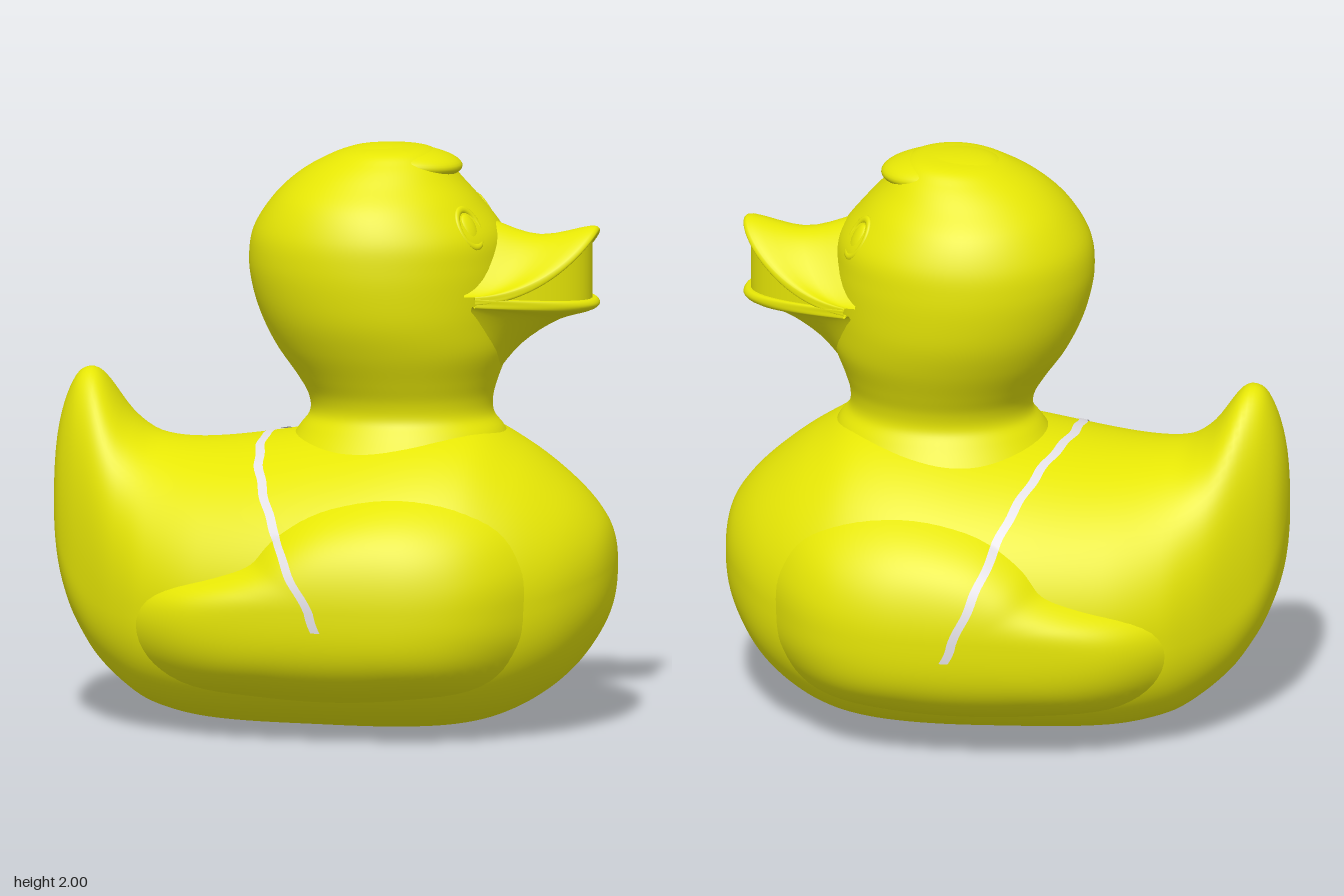
import * as THREE from 'three';
import { mergeVertices } from 'three/addons/utils/BufferGeometryUtils.js';

const yellow = new THREE.MeshStandardMaterial({ color: 0xe6e605, side: THREE.DoubleSide });
yellow.name = 'duckYellow';
const pale = new THREE.MeshStandardMaterial({ color: 0xe2dfe4, side: THREE.DoubleSide });
pale.name = 'paleLine';

// Smooth surface from a rule f(u, v) -> [x, y, z], seams welded
function surface(nu, nv, f) {
  const pos = [], idx = [];
  for (let i = 0; i <= nu; i++)
    for (let j = 0; j <= nv; j++) pos.push(...f(i / nu, j / nv));
  for (let i = 0; i < nu; i++)
    for (let j = 0; j < nv; j++) {
      const a = i * (nv + 1) + j, b = a + nv + 1;
      idx.push(a, b, a + 1, b, b + 1, a + 1);
    }
  let g = new THREE.BufferGeometry();
  g.setAttribute('position', new THREE.Float32BufferAttribute(pos, 3));
  g.setIndex(idx);
  g = mergeVertices(g, 1e-5);
  g.computeVertexNormals();
  return g;
}

// Cubic interpolation of rows [t, a, b, ...]
function sample(keys, t) {
  const last = keys.length - 1;
  let i = 0;
  while (i < last - 1 && t > keys[i + 1][0]) i++;
  const k0 = keys[Math.max(i - 1, 0)], k1 = keys[i], k2 = keys[i + 1], k3 = keys[Math.min(i + 2, last)];
  const h = k2[0] - k1[0];
  const s = THREE.MathUtils.clamp((t - k1[0]) / h, 0, 1), s2 = s * s, s3 = s2 * s;
  return k1.slice(1).map((p, c) => {
    const q = k2[c + 1];
    const m1 = (q - k0[c + 1]) / (k2[0] - k0[0]) * h;
    const m2 = (k3[c + 1] - p) / (k3[0] - k1[0]) * h;
    return (2 * s3 - 3 * s2 + 1) * p + (s3 - 2 * s2 + s) * m1 + (3 * s2 - 2 * s3) * q + (s3 - s2) * m2;
  });
}

// Body stations: x, bottom, top, half width, height of greatest width
const HALF = 0.97, LOW = 2.6;
const bodyKeys = [
  [-0.97, 0.8, 0.8, 0, 0.8], [-0.955, 0.56, 1.0, 0.115, 0.7], [-0.9, 0.37, 1.165, 0.215, 0.56],
  [-0.85, 0.28, 1.2, 0.275, 0.5], [-0.8, 0.21, 1.175, 0.33, 0.47], [-0.7, 0.12, 1.04, 0.43, 0.45],
  [-0.6, 0.06, 0.975, 0.505, 0.45], [-0.4, 0.015, 0.965, 0.585, 0.45], [0, 0, 1.02, 0.65, 0.47],
  [0.3, 0, 1.06, 0.655, 0.47], [0.5, 0.02, 1.05, 0.62, 0.47], [0.65, 0.07, 0.975, 0.555, 0.48],
  [0.8, 0.17, 0.865, 0.435, 0.5], [0.9, 0.295, 0.765, 0.295, 0.53], [0.955, 0.42, 0.67, 0.15, 0.55],
  [0.97, 0.56, 0.56, 0, 0.56],
].map(([x, ...r]) => [Math.acos(-x / HALF), ...r]);
const station = x => sample(bodyKeys, Math.acos(THREE.MathUtils.clamp(-x / HALF, -1, 1)));

function bodyPoint(x, a) {
  const [yb, yt, w, yw] = station(x);
  const c = Math.cos(a), s = Math.sin(a), e = s >= 0 ? 1 : 2 / LOW;
  const y = s >= 0 ? yw + (yt - yw) * s : yw - (yw - yb) * Math.pow(-s, e);
  return [x, y, w * Math.sign(c) * Math.pow(Math.abs(c), e)];
}
function bodyZ(x, y) {
  const [yb, yt, w, yw] = station(x);
  const n = y > yw ? 2 : LOW;
  const t = Math.min(1, y > yw ? (y - yw) / (yt - yw) : (yw - y) / (yw - yb));
  return w * Math.pow(1 - Math.pow(t, n), 1 / n);
}

// Wing outline: radius every 22.5 degrees around its centre, in stretched units
const WX = 0.07, WY = 0.47, WA = 0.67, WB = 0.355, SINK = 0.006;
const radii = [1.0, 1.06, 1.15, 1.12, 0.95, 0.73, 0.58, 0.67, 0.97, 1.1, 1.13, 1.0, 0.96, 0.99, 1.1, 1.04];
const wingKeys = [];
for (let i = -2; i <= 18; i++) wingKeys.push([i * Math.PI / 8, radii[(i + 16) % 16]]);
const wingRadius = a => sample(wingKeys, (a + Math.PI * 4) % (Math.PI * 2))[0];
const wingBump = r => (r >= 1 ? 0 : 0.094 * (1 - Math.pow(r, 5)));

function wingGeometry(side) {
  return surface(28, 96, (r, v) => {
    const a = side * v * Math.PI * 2, R = wingRadius(a) * r;
    const x = WX + WA * R * Math.cos(a), y = WY + WB * R * Math.sin(a);
    return [x, y, side * (bodyZ(x, y) + wingBump(r) - SINK)];
  });
}

// Painted line over the back: angle around the body, x
const lineKeys = [[-0.08, 0.05], [0.3, -0.07], [0.65, -0.155], [1.1, -0.22], [1.57, -0.225],
  [2.04, -0.145], [2.44, -0.06], [2.75, 0], [3.14, 0.09], [3.22, 0.12]];
function linePoint(u, v) {
  const a = -0.08 + 3.3 * v;
  const x = sample(lineKeys, a)[0] + (u - 0.5) * 0.032 + 0.003 * Math.sin(a * 23);
  const p = bodyPoint(x, a);
  const px = (x - WX) / WA, py = (p[1] - WY) / WB;
  const lift = wingBump(Math.hypot(px, py) / wingRadius(Math.atan2(py, px)));
  p[1] += 0.004 * Math.sin(a);
  p[2] += Math.sign(Math.cos(a)) * Math.max(0, lift - SINK) + 0.004 * Math.cos(a);
  return p;
}

// Head and neck: y, back x, front x, half width
const headKeys = [
  [0.95, -0.17, 0.62, 0.35], [1.02, -0.12, 0.585, 0.3], [1.07, -0.085, 0.548, 0.272],
  [1.13, -0.09, 0.545, 0.278], [1.2, -0.13, 0.565, 0.308], [1.3, -0.2, 0.6, 0.355],
  [1.4, -0.25, 0.605, 0.39], [1.5, -0.282, 0.605, 0.406], [1.6, -0.295, 0.6, 0.41],
  [1.7, -0.28, 0.58, 0.398], [1.8, -0.22, 0.505, 0.35], [1.88, -0.14, 0.435, 0.272],
  [1.94, -0.045, 0.385, 0.203], [1.98, 0.06, 0.33, 0.135], [1.994, 0.22, 0.22, 0],
].map((k, i) => [i, ...k]);
function headPoint(u, v) {
  const [y, back, front, w] = sample(headKeys, v * (headKeys.length - 1));
  const a = u * Math.PI * 2;
  return [(back + front) / 2 + (front - back) / 2 * Math.cos(a), y, -w * Math.sin(a)];
}

// Beak: s runs across from -1 to 1, f from the root (0) to the rim (1)
const rimX = s => 0.53 + 0.385 * (1 - Math.pow(Math.abs(s), 2.3));
const plan = (s, f, y, g = 1) => new THREE.Vector3(THREE.MathUtils.lerp(0.49, rimX(s), f), y, 0.285 * s * g);
const upperY = s => 1.51 + 0.215 * Math.pow((Math.cos(Math.PI * s) + 1) / 2, 0.85);
const lowerY = s => 1.5 - 0.03 * (1 - s * s);
const sweep = rows => surface(48, 24, (u, v) => {
  const s = u * 2 - 1;
  return new THREE.CatmullRomCurve3(rows(s)).getPoint(v).toArray();
});
const upperRows = s => {
  const y = upperY(s), k = 1 - s * s;
  return [plan(s, 0, y + 0.035 * k), plan(s, 0.5, y - 0.033 * k), plan(s, 0.97, y),
    plan(s, 1, y - 0.013), plan(s, 0.97, y - 0.028), plan(s, 0.8, y - 0.035, 0.9)];
};
const lowerRows = s => {
  const y = lowerY(s), k = 1 - s * s;
  return [plan(s, 0.8, y, 0.9), plan(s, 0.97, y + 0.005), plan(s, 1, y - 0.012), plan(s, 0.97, y - 0.028),
    plan(s, 0.68, 1.475 - 0.073 * k, 0.93), plan(s, 0.37, 1.44 - 0.125 * k, 0.85), plan(s, 0.14, 1.37 - 0.17 * k, 0.75)];
};

export function createModel() {
  const duck = new THREE.Group();
  duck.name = 'bathDuck';
  const add = (name, geometry, material = yellow, parent = duck) => {
    const mesh = new THREE.Mesh(geometry, material);
    mesh.name = name;
    parent.add(mesh);
    return mesh;
  };

  add('body', surface(96, 96, (u, v) =>
    bodyPoint(-HALF * Math.cos(u * Math.PI), v * Math.PI * 2 - Math.PI / 2)));
  add('rightWing', wingGeometry(1));
  add('leftWing', wingGeometry(-1));
  add('backLine', surface(2, 200, linePoint), pale);
  add('head', surface(72, 84, headPoint));

  // Feather lobe over the forehead, sunk into the crown at the back
  const tuft = add('foreheadTuft', new THREE.SphereGeometry(1, 40, 24));
  tuft.scale.set(0.215, 0.058, 0.175);
  tuft.position.set(0.225, 1.935, 0);
  tuft.rotation.z = -0.07;

  add('upperBeak', sweep(upperRows));
  add('lowerBeak', sweep(lowerRows));
  add('mouth', surface(48, 4, (u, v) => {
    const s = u * 2 - 1;
    return plan(s, 0.94, THREE.MathUtils.lerp(upperY(s) - 0.02, lowerY(s) - 0.01, v), 0.95).toArray();
  }));

  // Faintly raised eyes, each a low dome within a ring
  for (const side of [1, -1]) {
    const eye = new THREE.Group();
    eye.name = side > 0 ? 'rightEye' : 'leftEye';
    add('eyeDome', new THREE.SphereGeometry(1, 28, 16), yellow, eye).scale.set(0.036, 0.052, 0.014);
    add('eyeRing', new THREE.TorusGeometry(0.056, 0.011, 10, 40), yellow, eye).scale.set(0.9, 1.25, 0.8);
    eye.position.set(0.493, 1.735, side * 0.187);
    eye.lookAt(0.493 + 2.16, 1.735 + 1.4, side * (0.187 + 1.25));
    duck.add(eye);
  }
  return duck;
}
